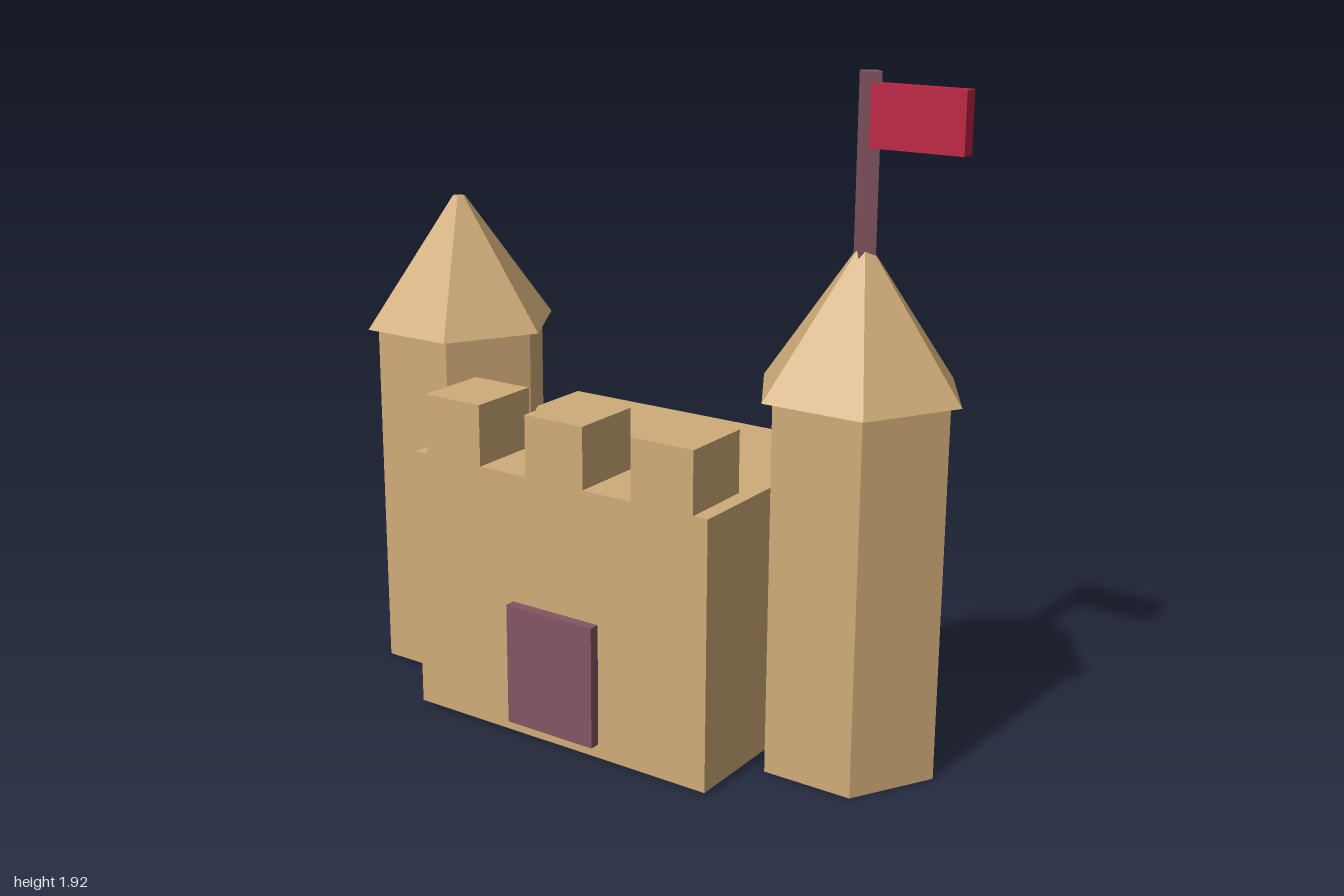
import * as THREE from 'three';

export function createModel() {
  const mat = (name, color) => {
    const m = new THREE.MeshStandardMaterial({ color });
    m.name = name;
    return m;
  };
  const stone = mat('sandstone', 0xcfab78);
  const wood = mat('plum wood', 0x845562);
  const cloth = mat('red cloth', 0xbe2243);

  const castle = new THREE.Group();
  castle.name = 'castle';

  // Box given by its minimum and maximum on each axis
  const box = (name, material, [x0, x1], [y0, y1], [z0, z1]) => {
    const mesh = new THREE.Mesh(new THREE.BoxGeometry(x1 - x0, y1 - y0, z1 - z0), material);
    mesh.position.set((x0 + x1) / 2, (y0 + y1) / 2, (z0 + z1) / 2);
    mesh.name = name;
    castle.add(mesh);
  };

  // Faceted upright prism or frustum between two heights
  const prism = (name, material, parent, rTop, rBottom, y0, y1, sides, start) => {
    const geometry = new THREE.CylinderGeometry(rTop, rBottom, y1 - y0, sides, 1, false, start).toNonIndexed();
    geometry.computeVertexNormals();
    const mesh = new THREE.Mesh(geometry, material);
    mesh.position.y = (y0 + y1) / 2;
    mesh.name = name;
    parent.add(mesh);
  };

  // Keep, battlements and gate
  box('keep', stone, [-0.505, 0.503], [0.01, 0.795], [-0.41, 0.375]);
  for (const x of [-0.36, 0, 0.358]) {
    box('merlon', stone, [x - 0.099, x + 0.099], [0.79, 0.975], [0.15, 0.375]);
  }
  box('gate', wood, [-0.15, 0.147], [0.052, 0.413], [0.36, 0.407]);

  // Hexagonal towers with overhanging roofs
  for (const [name, x] of [['rightTower', -0.699], ['leftTower', 0.695]]) {
    const tower = new THREE.Group();
    tower.name = name;
    tower.position.set(x, 0, -0.073);
    prism('towerWall', stone, tower, 0.268, 0.268, 0, 1.075, 6, Math.PI / 6);
    prism('towerRoof', stone, tower, 0.02, 0.3, 1.07, 1.46, 6, Math.PI / 6);
    castle.add(tower);

    // Flagpole stands on the left tower only
    if (x > 0) prism('flagpole', wood, tower, 0.033, 0.033, 1.42, 1.92, 4, 0);
  }
  box('flag', cloth, [0.705, 0.975], [1.725, 1.89], [-0.096, -0.052]);

  return castle;
}
